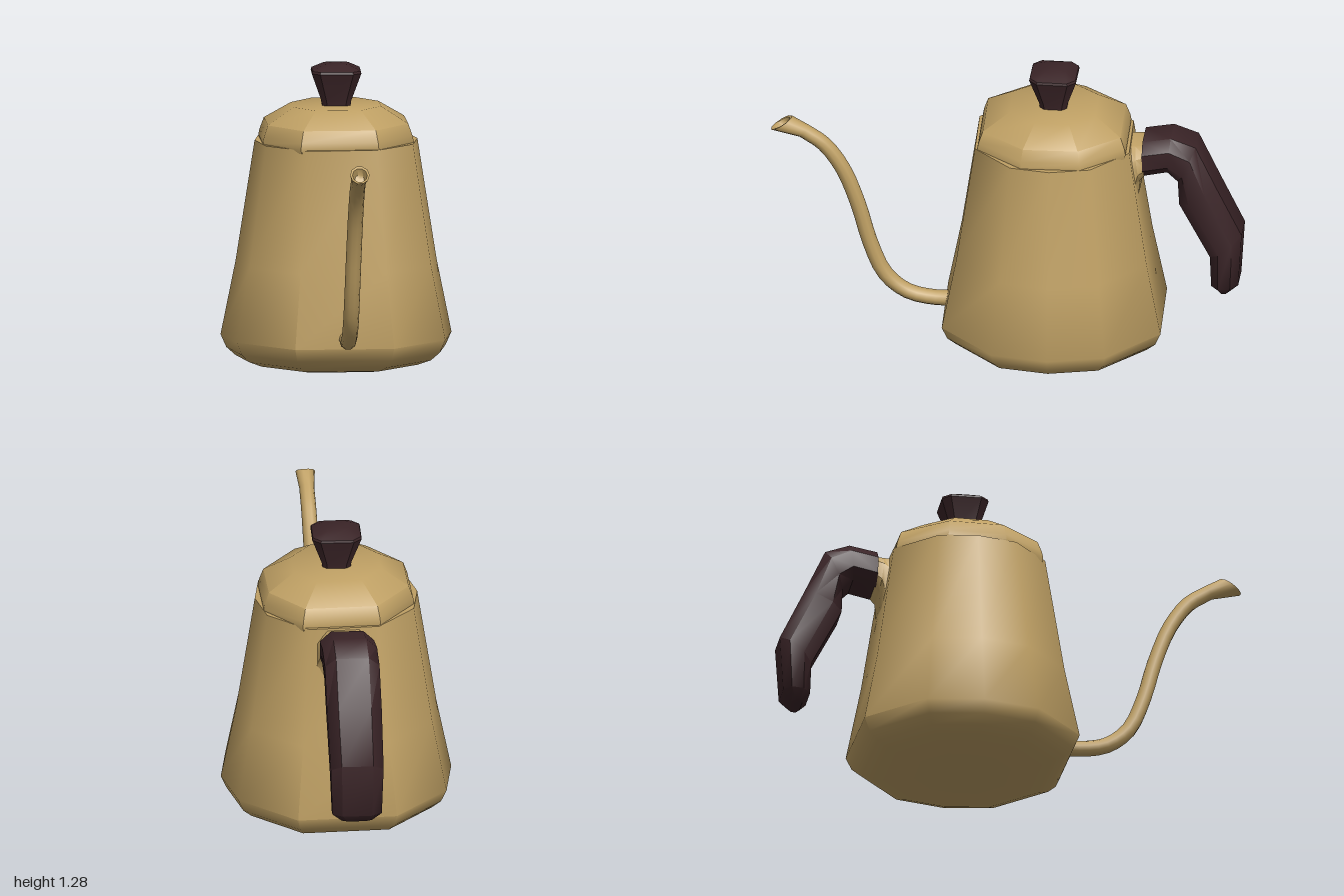
import * as THREE from 'three';
import { toCreasedNormals } from 'three/addons/utils/BufferGeometryUtils.js';

const brass = new THREE.MeshStandardMaterial({ color: 0xbfa064 });
brass.name = 'brass';
const darkWood = new THREE.MeshStandardMaterial({ color: 0x3a2427 });
darkWood.name = 'dark wood';

const V = (x, y, z) => new THREE.Vector3(x, y, z);
const CZ = -0.2; // axis of the pot

// Skin closed rings of points, cap both ends and face the surface outwards
function loft(name, rings, material, crease = 0.9) {
  const n = rings[0].length, pos = [], index = [];
  rings.forEach(r => r.forEach(p => pos.push(p.x, p.y, p.z)));
  for (let i = 0; i < rings.length - 1; i++) {
    for (let j = 0; j < n; j++) {
      const a = i * n + j, b = i * n + (j + 1) % n;
      index.push(a, b, a + n, b, b + n, a + n);
    }
  }
  [0, rings.length - 1].forEach((k, end) => {
    const c = rings[k].reduce((s, p) => s.add(p), V(0, 0, 0)).divideScalar(n);
    const ci = pos.length / 3;
    pos.push(c.x, c.y, c.z);
    for (let j = 0; j < n; j++) {
      const a = k * n + j, b = k * n + (j + 1) % n;
      if (end) index.push(a, b, ci);
      else index.push(b, a, ci);
    }
  });
  const at = i => V(pos[3 * i], pos[3 * i + 1], pos[3 * i + 2]);
  let volume = 0;
  for (let i = 0; i < index.length; i += 3) {
    volume += at(index[i]).dot(at(index[i + 1]).cross(at(index[i + 2])));
  }
  if (volume < 0) index.reverse();
  const g = new THREE.BufferGeometry();
  g.setAttribute('position', new THREE.Float32BufferAttribute(pos, 3));
  g.setIndex(index);
  const mesh = new THREE.Mesh(toCreasedNormals(g, crease), material);
  mesh.name = name;
  return mesh;
}

// Horizontal rings: half an outline, repeated by point symmetry, scaled per level
function stack(name, half, levels, material, crease) {
  const outline = [...half, ...half.map(([x, z]) => [-x, -z])];
  const rings = levels.map(([y, s]) => outline.map(([x, z]) => V(x * s, y, CZ + z * s)));
  return loft(name, rings, material, crease);
}

// Chamfered rings spanning an upper and a lower edge in the side plane
function grip(name, sections, material) {
  const oct = [[1, 0.45], [0.6, 1], [-0.6, 1], [-1, 0.45], [-1, -0.45], [-0.6, -1], [0.6, -1], [1, -0.45]];
  const rings = sections.map(([z1, y1, z2, y2, x, w]) => oct.map(([u, v]) =>
    V(x + u * w, (y1 + y2) / 2 + v * (y1 - y2) / 2, (z1 + z2) / 2 + v * (z1 - z2) / 2)));
  return loft(name, rings, material, 0.8);
}

// Thin gooseneck with a flared, slanted and hollow mouth
function spout() {
  const path = [[0.03, 0.17, 0.2], [0.03, 0.165, 0.3], [0.032, 0.19, 0.42], [0.036, 0.27, 0.515],
    [0.04, 0.42, 0.58], [0.045, 0.6, 0.63], [0.05, 0.77, 0.695], [0.054, 0.885, 0.775], [0.057, 0.945, 0.86]];
  const curve = new THREE.CatmullRomCurve3(path.map(p => V(...p)));
  const ring = (c, t, r) => {
    const up = V(0, t.z, -t.y).normalize();
    return Array.from({ length: 10 }, (_, j) => {
      const a = j / 10 * Math.PI * 2;
      return c.clone().addScaledVector(up, r * Math.sin(a)).add(V(r * Math.cos(a) * (r > 0.04 ? 0.75 : 1), 0, 0));
    });
  };
  const rings = [];
  for (let i = 0; i <= 24; i++) {
    const t = i / 24;
    rings.push(ring(curve.getPoint(t), curve.getTangent(t), 0.034 - 0.002 * t));
  }
  const slant = V(0, 0.82, 0.57);
  rings.push(ring(V(0.058, 0.979, 0.956), slant, 0.055));
  rings.push(ring(V(0.058, 0.978, 0.955), slant, 0.042));
  rings.push(ring(V(0.058, 0.955, 0.92), V(0, 0.5, 0.87), 0.02));
  return loft('spout', rings, brass, 1.0);
}

export function createModel() {
  const group = new THREE.Group();
  group.name = 'kettle';

  // Ten-sided tapering pot with a rounded foot
  group.add(stack('body',
    [[0.49, -0.02], [0.455, 0.22], [0.23, 0.455], [-0.19, 0.472], [-0.43, 0.26]],
    [[0, 0.62], [0.012, 0.75], [0.035, 0.87], [0.07, 0.95], [0.125, 1], [0.44, 0.87], [0.955, 0.705]], brass));

  // Eight-sided domed lid
  group.add(stack('lid',
    [[0.325, 0.11], [0.17, 0.31], [-0.16, 0.32], [-0.315, 0.14]],
    [[0.94, 0.99], [0.96, 1], [0.985, 0.985], [1.035, 0.93], [1.105, 0.58]], brass, 0.7));

  // Flared square knob with cut corners
  group.add(stack('knob',
    [[0.105, -0.065], [0.105, 0.065], [0.07, 0.1], [-0.07, 0.1]],
    [[1.095, 0.56], [1.125, 0.6], [1.245, 1], [1.255, 0.97], [1.28, 0.5]], darkWood, 0.6));

  group.add(spout());

  // Each section: upper z, upper y, lower z, lower y, centre x, half width
  group.add(grip('handleSocket', [
    [-0.42, 0.95, -0.5, 0.6, -0.01, 0.12],
    [-0.52, 0.945, -0.565, 0.72, -0.01, 0.115],
    [-0.55, 0.945, -0.57, 0.785, -0.015, 0.108],
    [-0.6, 0.95, -0.6, 0.815, -0.02, 0.105]], brass));
  group.add(grip('handle', [
    [-0.58, 0.965, -0.585, 0.805, -0.022, 0.115],
    [-0.7, 0.985, -0.685, 0.825, -0.027, 0.116],
    [-0.805, 0.945, -0.73, 0.78, -0.032, 0.116],
    [-0.895, 0.75, -0.735, 0.67, -0.037, 0.116],
    [-1.0, 0.53, -0.865, 0.42, -0.042, 0.112],
    [-0.985, 0.29, -0.87, 0.28, -0.042, 0.105],
    [-0.945, 0.247, -0.9, 0.245, -0.042, 0.065]], darkWood));

  return group;
}
